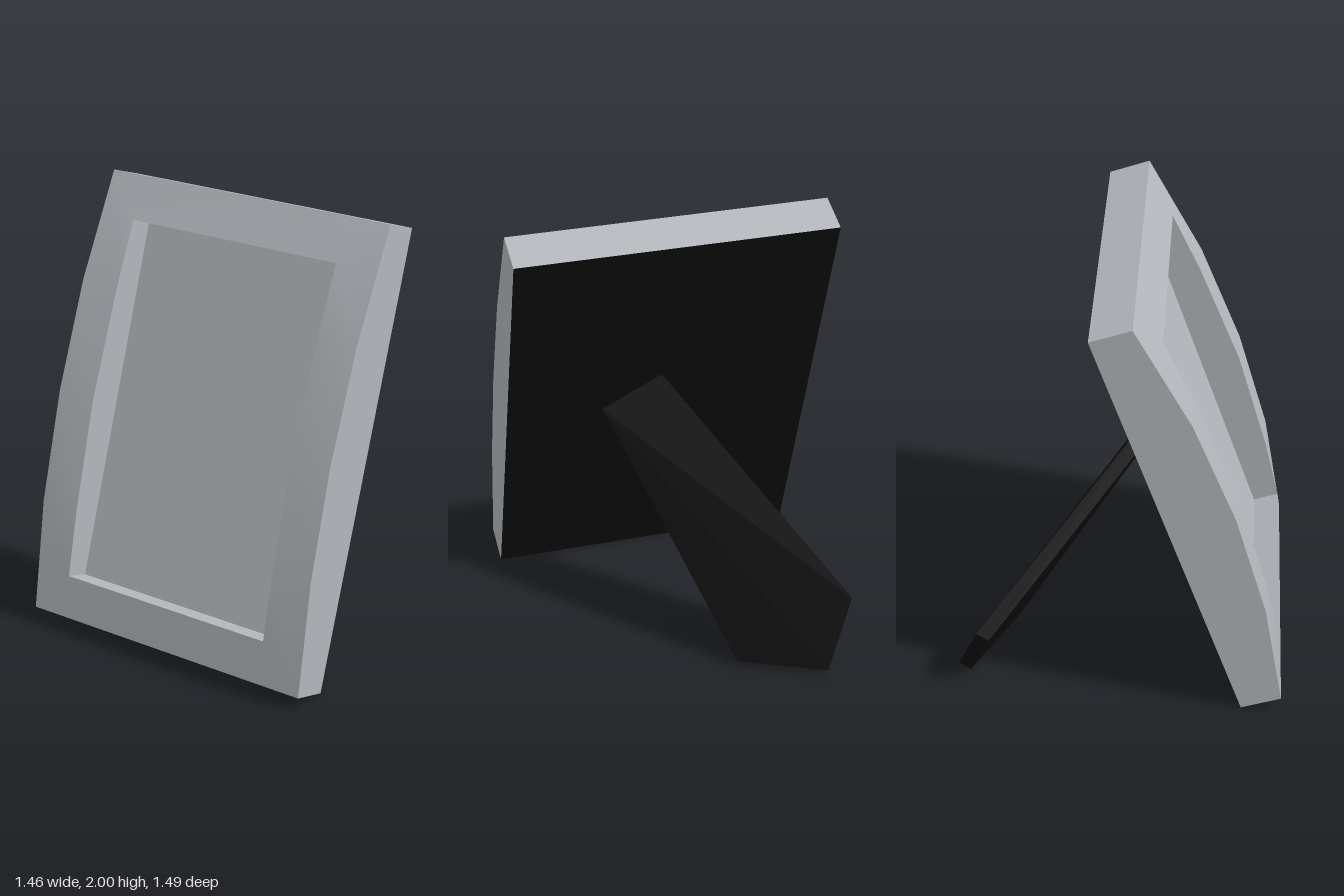
import * as THREE from 'three';
import { ConvexGeometry } from 'three/addons/geometries/ConvexGeometry.js';

const H = 2.054;       // frame height along its own slope
const HALF = 0.728;    // half the frame width
const OPEN = 0.535;    // half the opening width
const PANEL_Z = 0.12;  // depth of the picture panel

// Closed loop, counter-clockwise from the front: up the +x side, down the -x side
function sideLoop(x, ys, zs) {
  const up = ys.map((y, i) => [x, y, zs[i]]);
  const down = up.map(([px, y, z]) => [-px, y, z]).reverse();
  return [...up, ...down];
}

// Band of quads between two loops
function loft(a, b, smooth) {
  const n = a.length;
  const index = [];
  for (let i = 0; i < n; i++) {
    const j = (i + 1) % n;
    index.push(i, j, n + j, i, n + j, n + i);
  }
  let geometry = new THREE.BufferGeometry();
  geometry.setAttribute('position', new THREE.Float32BufferAttribute([...a, ...b].flat(), 3));
  geometry.setIndex(index);
  if (!smooth) geometry = geometry.toNonIndexed();
  geometry.computeVertexNormals();
  return geometry;
}

function addMesh(parent, name, geometry, material) {
  const mesh = new THREE.Mesh(geometry, material);
  mesh.name = name;
  parent.add(mesh);
  return mesh;
}

export function createModel() {
  const silver = new THREE.MeshStandardMaterial({ color: 0xb3b7bc });
  silver.name = 'silver grey';
  const black = new THREE.MeshStandardMaterial({ color: 0x0d0d0d });
  black.name = 'black';

  const model = new THREE.Group();
  model.name = 'pictureFrame';

  // Frame, built upright and then leaned back
  const frame = new THREE.Group();
  frame.name = 'frame';
  frame.position.z = 0.565;
  frame.rotation.x = -0.335;
  model.add(frame);

  // Bowed front: outer edge and opening edge share the same curve
  const outer = sideLoop(HALF, [0, H / 4, H / 2, H * 0.75, H], [0.19, 0.274, 0.3, 0.274, 0.19]);
  const inner = sideLoop(OPEN, [0.203, H / 4, H / 2, H * 0.75, H - 0.203], [0.242, 0.274, 0.3, 0.274, 0.242]);
  const flatten = (loop, z) => loop.map(([x, y]) => [x, y, z]);

  addMesh(frame, 'frameSides', loft(flatten(outer, 0), outer, false), silver);
  addMesh(frame, 'frameFront', loft(outer, inner, true), silver);
  addMesh(frame, 'openingWalls', loft(inner, flatten(inner, PANEL_Z), false), silver);

  // Flat panel inside the opening
  const panel = addMesh(frame, 'picturePanel', new THREE.PlaneGeometry(OPEN * 2, H - 0.406), silver);
  panel.position.set(0, H / 2, PANEL_Z);

  // Black backing
  const backing = addMesh(frame, 'backing', new THREE.PlaneGeometry(HALF * 2, H), black);
  backing.position.y = H / 2;
  backing.rotation.y = Math.PI;

  // Slanted easel leg: a tapered plate with a pointed foot
  const face = [
    [0.01, 1.17, 0.16], [0.29, 1.025, 0.165],
    [-0.145, 0.025, -0.565], [-0.525, 0.025, -0.745], [-0.665, 0.325, -0.635],
  ].map((p) => new THREE.Vector3(...p));
  const thickness = new THREE.Vector3(-0.012, -0.025, 0.056);
  const under = face.map((p) => p.clone().add(thickness));
  addMesh(model, 'easelLeg', new ConvexGeometry([...face, ...under]), black);

  return model;
}
